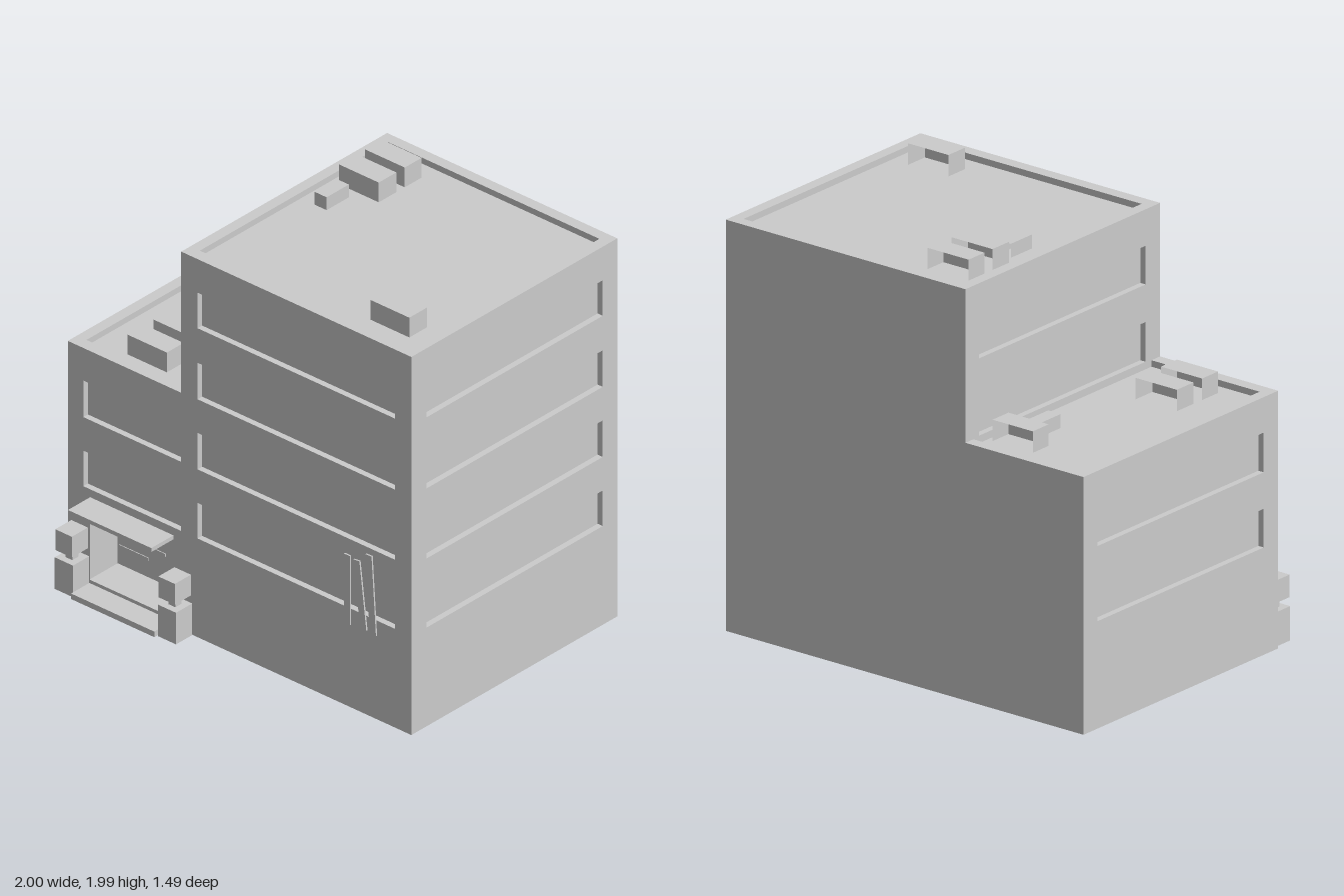
import * as THREE from 'three';

const grey = new THREE.MeshStandardMaterial({ color: 0xcccccc, flatShading: true, side: THREE.DoubleSide });
const FRONT = 0.6, BACK = -0.745, STEP_X = -0.34, TALL = 1.915, LOW = 1.2;
const FLOORS = [[0.5, 0.68], [0.85, 1.035], [1.205, 1.39], [1.565, 1.745]];

function add(parent, name, geometry) {
  const mesh = new THREE.Mesh(geometry, grey);
  mesh.name = name;
  parent.add(mesh);
  return mesh;
}

// Box from its limits; omit lists faces to leave out (0 +x, 1 -x, 2 +y, 3 -y, 4 +z, 5 -z)
function block(parent, name, [x0, x1], [y0, y1], [z0, z1], omit = []) {
  const g = new THREE.BoxGeometry(x1 - x0, y1 - y0, z1 - z0);
  const index = Array.from(g.index.array).filter((_, i) => !omit.includes(Math.floor(i / 6)));
  g.setIndex(index);
  g.clearGroups();
  g.translate((x0 + x1) / 2, (y0 + y1) / 2, (z0 + z1) / 2);
  return add(parent, name, g);
}

const rect = (Type, [x0, x1], [y0, y1]) => new Type([
  [x0, y0], [x1, y0], [x1, y1], [x0, y1],
].map(([x, y]) => new THREE.Vector2(x, y)));

// Flat wall facing +z with recessed window bands
function wall(parent, name, outline, windows) {
  const group = new THREE.Group();
  group.name = name;
  const shape = new THREE.Shape(outline.map(([x, y]) => new THREE.Vector2(x, y)));
  for (const [xs, ys] of windows) {
    shape.holes.push(rect(THREE.Path, xs, ys));
    block(group, 'windowRecess', xs, ys, [-0.03, 0], [4]);
  }
  add(group, name + 'Surface', new THREE.ShapeGeometry(shape));
  parent.add(group);
  return group;
}

// Sunken roof with a flat parapet rim
function roof(parent, name, xs, inner, y) {
  const zs = [-0.69, 0.54];
  const rim = rect(THREE.Shape, xs, [-FRONT, -BACK]);
  rim.holes.push(rect(THREE.Path, inner, [-zs[1], -zs[0]]));
  add(parent, name + 'Parapet', new THREE.ShapeGeometry(rim).rotateX(-Math.PI / 2)).position.y = y;
  block(parent, name, inner, [y - 0.03, y], zs, [2]);
}

export function createModel() {
  const model = new THREE.Group();
  model.name = 'officeBuilding';
  const door = [-0.87, -0.385], doorTop = 0.44;

  // Front wall with the doorway notch, and plain back wall
  const top = [[1, 0], [1, TALL], [STEP_X, TALL], [STEP_X, LOW], [-1, LOW], [-1, 0]];
  const notch = [[door[0], 0], [door[0], doorTop], [door[1], doorTop], [door[1], 0]];
  const frontWindows = [
    ...FLOORS.map((f) => [[-0.245, 0.905], f]),
    ...FLOORS.slice(0, 2).map((f) => [[-0.91, STEP_X], f]),
  ];
  wall(model, 'frontWall', [...top, ...notch], frontWindows).position.z = FRONT;
  const back = wall(model, 'backWall', top.map(([x, y]) => [-x, y]).reverse(), []);
  back.rotation.y = Math.PI;
  back.position.z = BACK;

  // Side walls: full height, low wing, and the wall rising above the low wing
  const side = (name, x, dir, y0, y1, floors) => {
    const us = [-FRONT, -BACK].map((u) => u * dir).sort((a, b) => a - b);
    const ws = [-0.5, 0.65].map((u) => u * dir).sort((a, b) => a - b);
    const w = wall(model, name, [[us[0], y0], [us[1], y0], [us[1], y1], [us[0], y1]],
      floors.map((f) => [ws, f]));
    w.rotation.y = dir * Math.PI / 2;
    w.position.x = x;
  };
  side('leftWall', 1, 1, 0, TALL, FLOORS);
  side('rightWall', -1, -1, 0, LOW, FLOORS.slice(0, 2));
  side('upperRightWall', STEP_X, -1, LOW - 0.03, TALL, FLOORS.slice(2));

  // Roofs
  roof(model, 'tallRoof', [STEP_X, 1], [-0.285, 0.945], TALL);
  roof(model, 'lowRoof', [-1, STEP_X], [-0.945, STEP_X], LOW);

  // Rooftop units, open at the back and underneath
  const units = [
    [[-0.24, -0.01], [-0.6, -0.49], TALL, 0.07],
    [[-0.24, -0.01], [-0.435, -0.32], TALL, 0.07],
    [[-0.205, -0.135], [-0.265, -0.12], TALL, 0.035],
    [[0.625, 0.85], [0.33, 0.445], TALL, 0.07],
    [[-0.595, -0.37], [-0.595, -0.485], LOW, 0.07],
    [[-0.5, -0.43], [-0.43, -0.285], LOW, 0.035],
    [[-0.765, -0.535], [0.19, 0.305], LOW, 0.07],
    [[-0.765, -0.535], [0.365, 0.475], LOW, 0.07],
  ];
  for (const [xs, zs, y, h] of units) block(model, 'roofUnit', xs, [y - 0.03, y + h], zs, [3, 5]);

  // Entrance: recess, threshold, step and canopy
  block(model, 'entranceRecess', door, [0, doorTop], [0.42, FRONT], [3, 4]);
  block(model, 'threshold', door, [0, 0.045], [0.42, 0.605]);
  block(model, 'entranceStep', door, [0, 0.028], [FRONT, 0.725]);
  block(model, 'canopy', door, [doorTop, 0.46], [FRONT, 0.745]);
  for (const [y, x1] of [[0.33, -0.4], [0.285, -0.6], [0.2, -0.59], [0.14, -0.69]])
    block(model, 'doorSlat', [-0.86, x1], [y - 0.01, y + 0.005], [0.42, 0.424]);

  // Stacked pillars on both sides of the entrance
  for (const x of [-0.927, -0.327]) {
    block(model, 'pillarBase', [x - 0.053, x + 0.053], [0, 0.16], [0.602, 0.708]);
    block(model, 'pillarNeck', [x - 0.02, x + 0.02], [0.16, 0.2], [0.635, 0.675]);
    block(model, 'pillarCap', [x - 0.048, x + 0.048], [0.2, 0.305], [0.605, 0.71]);
  }

  // Leaning planks across the first window band
  for (const [x, y, length, tilt] of [[0.632, 0.595, 0.35, 0], [0.707, 0.595, 0.34, 0.12], [0.77, 0.62, 0.395, 0.065]]) {
    const plank = add(model, 'plank', new THREE.BoxGeometry(0.036, length, 0.008));
    plank.position.set(x, y, 0.604);
    plank.rotation.z = tilt;
  }
  return model;
}
